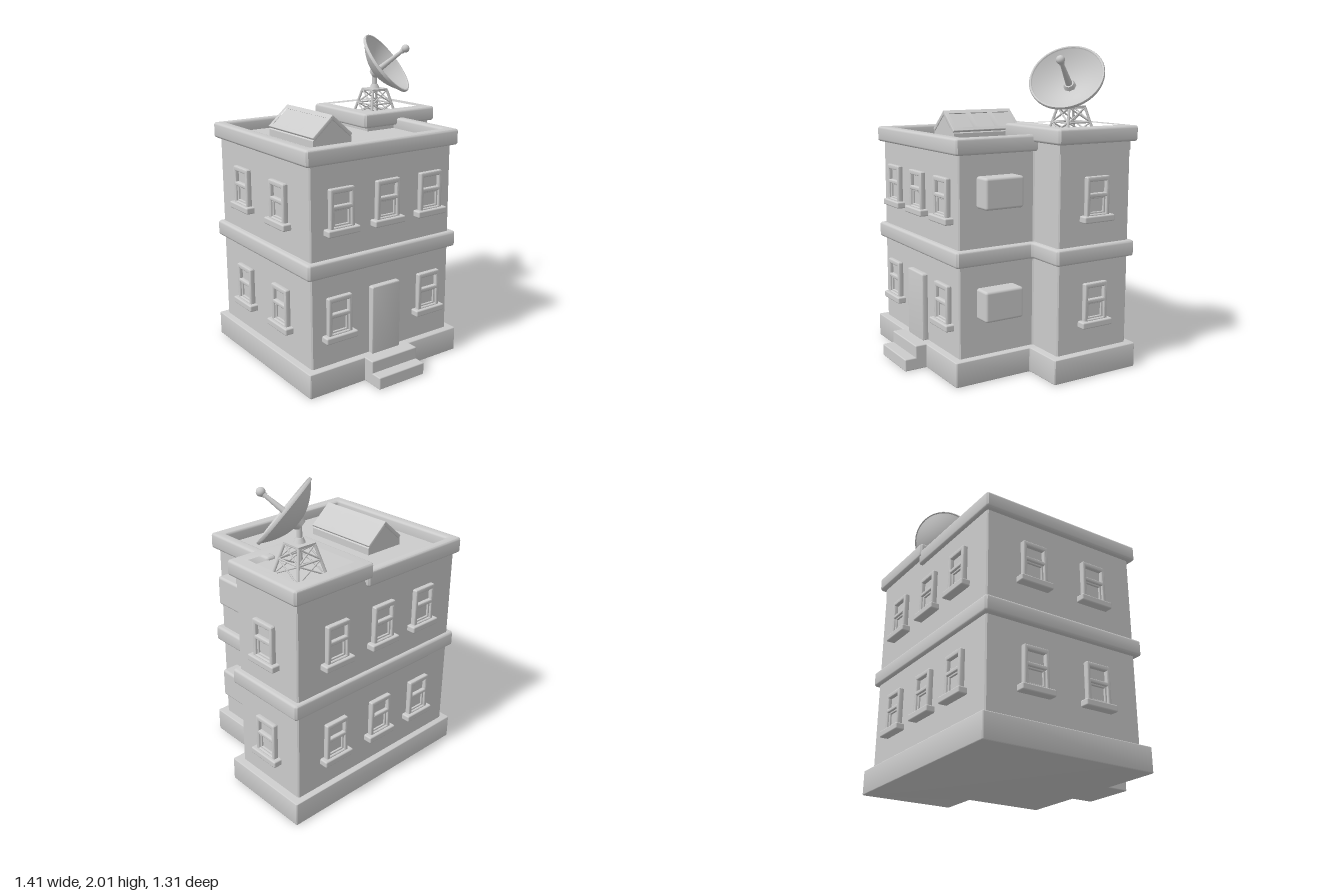
import * as THREE from 'three';
import { toCreasedNormals } from 'three/addons/utils/BufferGeometryUtils.js';
import { RoundedBoxGeometry } from 'three/addons/geometries/RoundedBoxGeometry.js';

const material = new THREE.MeshStandardMaterial({ color: 0xcccccc });

function add(parent, name, geometry, x = 0, y = 0, z = 0) {
  const mesh = new THREE.Mesh(geometry, material);
  mesh.name = name;
  mesh.position.set(x, y, z);
  parent.add(mesh);
  return mesh;
}

const rect = (x0, y0, x1, y1) => [[x0, y0], [x1, y0], [x1, y1], [x0, y1]];

// Outline with its corners cut by c
function outline(points, c = 0) {
  const out = [];
  points.forEach((p, i) => {
    const a = new THREE.Vector2(...p);
    if (!c) return out.push(a);
    for (const k of [points.length - 1, 1]) {
      const q = new THREE.Vector2(...points[(i + k) % points.length]);
      out.push(a.clone().add(q.sub(a).setLength(c)));
    }
  });
  return out;
}

// Bevelled extrusion that keeps the given outline and depth
function extrude(points, holes, depth, bevel, corner = 0) {
  const shape = new THREE.Shape(outline(points, corner));
  for (const h of holes) shape.holes.push(new THREE.Path(outline(h)));
  const g = new THREE.ExtrudeGeometry(shape, {
    depth: depth - 2 * bevel, bevelEnabled: bevel > 0, bevelThickness: bevel,
    bevelSize: bevel, bevelOffset: -bevel, bevelSegments: 3,
  });
  g.translate(0, 0, bevel);
  return toCreasedNormals(g, 0.6);
}

// Floor-plan extrusion: points are [x, z], rising from y0 to y1
function plan(points, holes, y0, y1, bevel = 0, corner = 0) {
  const flip = (list) => list.map(([x, z]) => [x, -z]);
  return extrude(flip(points), holes.map(flip), y1 - y0, bevel, corner)
    .rotateX(-Math.PI / 2).translate(0, y0, 0);
}

// L-shaped plan of the main block with the side tower
const lPlan = (left, front, right, towerFront, towerRight, back) => [
  [left, front], [right, front], [right, towerFront],
  [towerRight, towerFront], [towerRight, back], [left, back]];

// Cylinder between two points
function strut(parent, name, a, b, r0, r1 = r0, sides = 6) {
  const dir = b.clone().sub(a);
  const m = add(parent, name, new THREE.CylinderGeometry(r1, r0, dir.length(), sides));
  m.position.copy(a).addScaledVector(dir, 0.5);
  m.quaternion.setFromUnitVectors(new THREE.Vector3(0, 1, 0), dir.normalize());
  return m;
}

function addWindows(root) {
  const frame = extrude(rect(-0.085, 0, 0.085, 0.24),
    [rect(-0.06, 0.015, 0.06, 0.115), rect(-0.06, 0.14, 0.06, 0.21)], 0.035, 0.007, 0.006);
  const sash = extrude(rect(-0.064, 0.01, 0.064, 0.125), [rect(-0.048, 0.025, 0.048, 0.105)], 0.022, 0.004);
  const glass = new THREE.BoxGeometry(0.14, 0.21, 0.02);
  const sill = new RoundedBoxGeometry(0.225, 0.042, 0.07, 2, 0.009);
  const place = (x, y, z, turn) => {
    const g = new THREE.Group();
    g.name = 'window';
    add(g, 'windowFrame', frame);
    add(g, 'lowerSash', sash);
    add(g, 'windowGlass', glass, 0, 0.12, 0);
    add(g, 'windowSill', sill, 0, -0.015, 0.02);
    g.position.set(x, y, z);
    g.rotation.y = turn;
    root.add(g);
  };
  for (const y of [0.348, 0.999]) {
    const upper = y > 0.5;
    for (const x of upper ? [-0.452, -0.12, 0.21] : [-0.47, 0.21]) place(x, y, 0.455, 0);
    for (const x of [-0.364, -0.01, 0.364]) place(x, y, -0.6, Math.PI);
    for (const z of [-0.29, 0.142]) place(-0.655, y, z, -Math.PI / 2);
    place(0.65, y, -0.335, Math.PI / 2);
  }
}

function addSkylight(root) {
  const g = new THREE.Group();
  g.name = 'skylight';
  g.position.set(-0.308, 0, -0.075);
  // Gabled core with framed panes on both slopes
  const core = extrude([[-0.14, 1.4], [0.14, 1.4], [0.14, 1.453], [0, 1.576], [-0.14, 1.453]], [], 0.506, 0);
  add(g, 'skylightCore', core, 0, 0, -0.253);
  const panes = [-0.166, 0, 0.166].map((z) => rect(0.028, z - 0.066, 0.165, z + 0.066));
  const frame = plan(rect(0, -0.257, 0.19, 0.257), panes, -0.024, 0, 0.003);
  for (const turn of [0, Math.PI]) {
    const side = new THREE.Group();
    side.name = 'skylightSlope';
    side.rotation.y = turn;
    add(side, 'skylightFrame', frame, 0, 1.597, 0).rotation.z = -0.718;
    g.add(side);
  }
  root.add(g);
}

function addDish(root) {
  const g = new THREE.Group();
  g.name = 'satelliteDish';
  root.add(g);
  // Lattice stand
  const cx = 0.397, cz = -0.335;
  const levels = [[1.45, 0.108], [1.545, 0.085], [1.635, 0.06]];
  const corner = (level, i) => {
    const [y, h] = levels[level];
    return new THREE.Vector3(cx + h * [1, 1, -1, -1][i % 4], y, cz + h * [1, -1, -1, 1][i % 4]);
  };
  for (let i = 0; i < 4; i++) {
    strut(g, 'standLeg', corner(0, i), corner(2, i), 0.009);
    for (let l = 0; l < 2; l++) {
      strut(g, 'standBrace', corner(l, i), corner(l + 1, i + 1), 0.005);
      strut(g, 'standBrace', corner(l, i + 1), corner(l + 1, i), 0.005);
      strut(g, 'standRail', corner(l + 1, i), corner(l + 1, i + 1), 0.006);
    }
  }
  add(g, 'standTop', new THREE.BoxGeometry(0.13, 0.014, 0.13), cx, 1.638, cz);
  add(g, 'mastCollar', new THREE.CylinderGeometry(0.022, 0.035, 0.03, 12), cx, 1.66, cz);
  add(g, 'mast', new THREE.CylinderGeometry(0.016, 0.016, 0.11, 12), cx, 1.69, cz);

  // Tilted reflector with its feed; local y is the dish axis
  const head = new THREE.Group();
  head.name = 'dishHead';
  head.position.set(0.445, 1.82, -0.26);
  head.quaternion.setFromUnitVectors(new THREE.Vector3(0, 1, 0),
    new THREE.Vector3(0.47, 0.615, 0.633).normalize());
  g.add(head);
  const profile = [];
  for (let i = 0; i <= 10; i++) profile.push(new THREE.Vector2(0.224 * i / 10, -0.108 + 0.098 * (i / 10) ** 2));
  profile.push(new THREE.Vector2(0.232, -0.012), new THREE.Vector2(0.234, 0), new THREE.Vector2(0.23, 0.007),
    new THREE.Vector2(0.22, 0.007));
  for (let i = 10; i >= 0; i--) profile.push(new THREE.Vector2(0.216 * i / 10, -0.095 + 0.095 * (i / 10) ** 2));
  add(head, 'reflector', toCreasedNormals(new THREE.LatheGeometry(profile, 40), 0.7));
  add(head, 'backHub', new THREE.CylinderGeometry(0.05, 0.03, 0.035, 12), 0, -0.112, 0);
  add(head, 'feedBase', new THREE.CylinderGeometry(0.03, 0.042, 0.028, 8), 0, -0.08, 0);
  add(head, 'feedRod', new THREE.CylinderGeometry(0.011, 0.022, 0.23, 12), 0, 0.03, 0);
  add(head, 'feedCollar', new THREE.CylinderGeometry(0.017, 0.017, 0.012, 12), 0, 0.135, 0);
  add(head, 'feedHorn', new THREE.SphereGeometry(0.027, 16, 12), 0, 0.162, 0);
}

export function createModel() {
  const root = new THREE.Group();
  root.name = 'building';

  // Foundation, walls and floor band
  add(root, 'foundation', plan(lPlan(-0.7, 0.503, 0.435, -0.02, 0.7, -0.64), [], 0, 0.155, 0.006, 0.006));
  add(root, 'walls', plan(lPlan(-0.655, 0.455, 0.388, -0.07, 0.65, -0.6), [], 0.14, 1.41, 0, 0.008));
  add(root, 'floorBand', plan(lPlan(-0.69, 0.488, 0.425, -0.04, 0.685, -0.625), [], 0.72, 0.82, 0.016, 0.012));
  add(root, 'towerTop', plan(rect(0.14, -0.6, 0.65, -0.07), [], 1.38, 1.46));

  // Parapets: the main one stops against the raised tower
  add(root, 'mainParapet', plan([
    [0.13, -0.625], [-0.69, -0.625], [-0.69, 0.488], [0.425, 0.488], [0.425, -0.08],
    [0.358, -0.08], [0.358, 0.41], [-0.62, 0.41], [-0.62, -0.565], [0.13, -0.565],
  ], [], 1.38, 1.48, 0.016, 0.01));
  add(root, 'towerParapet', plan(rect(0.097, -0.632, 0.688, -0.038),
    [rect(0.16, -0.565, 0.617, -0.11)], 1.435, 1.53, 0.016, 0.012));

  // Entrance
  add(root, 'door', extrude(rect(-0.24, 0.15, -0.027, 0.59), [], 0.05, 0.008, 0.008), 0, 0, 0.442);
  add(root, 'upperStep', new RoundedBoxGeometry(0.345, 0.155, 0.12, 2, 0.007), -0.132, 0.0775, 0.517);
  add(root, 'lowerStep', new RoundedBoxGeometry(0.345, 0.078, 0.17, 2, 0.007), -0.132, 0.039, 0.566);

  // Wall-mounted cooling units
  for (const y of [0.482, 1.156]) {
    add(root, 'coolingUnit', new RoundedBoxGeometry(0.13, 0.19, 0.262, 3, 0.016), 0.432, y, 0.203);
  }

  addWindows(root);
  addSkylight(root);
  addDish(root);
  return root;
}
